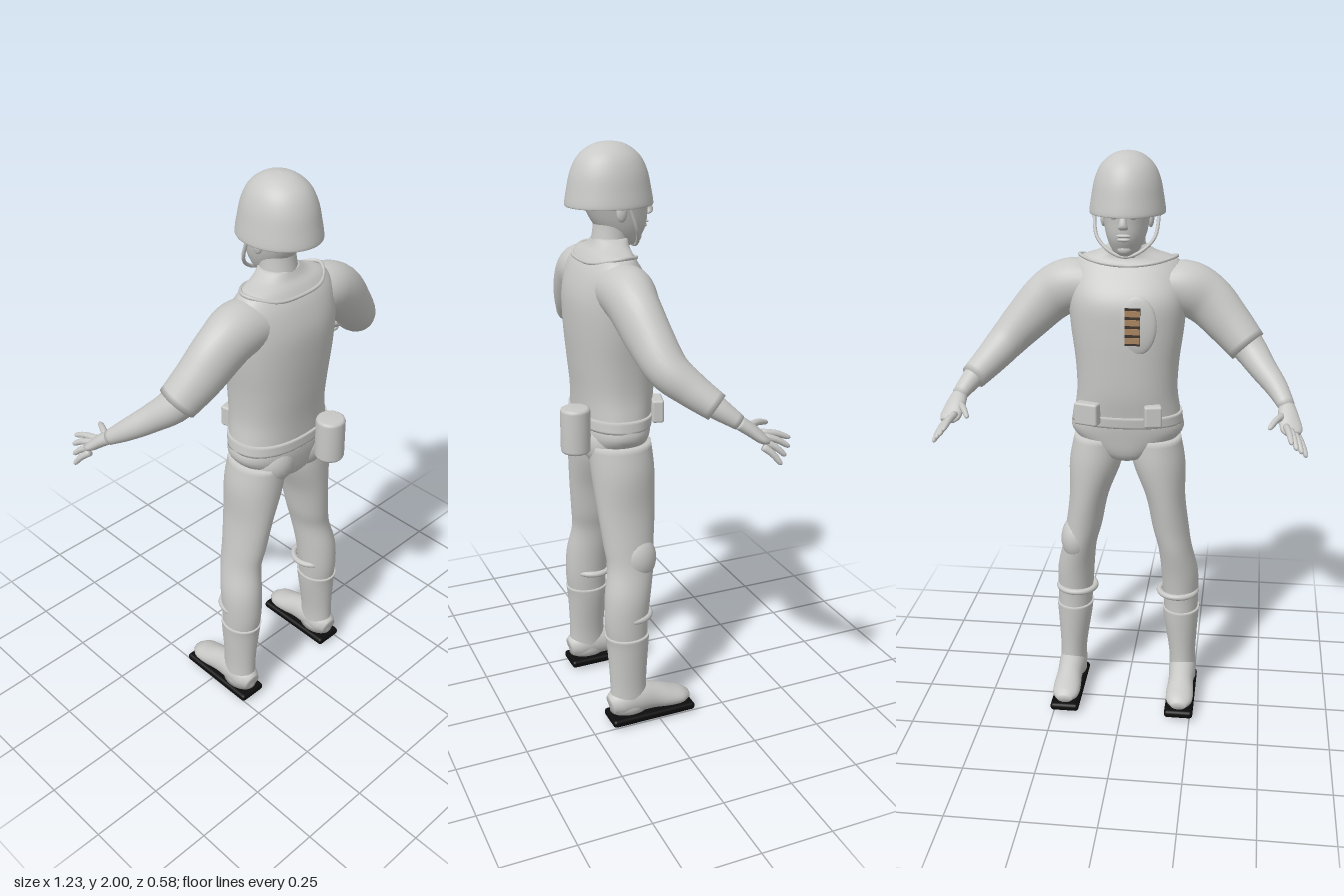
import * as THREE from 'three';
import { RoundedBoxGeometry } from 'three/addons/geometries/RoundedBoxGeometry.js';

const uniform = { color: 0xc8c8c6 }, black = { color: 0x0c0c0c };
const V = (x, y, z) => new THREE.Vector3(x, y, z);

// Smooth tube through rows of [x, y, z, sideRadius, otherRadius]; upright keeps the rings level
function loft(rows, { upright = false, seg = 28, steps = 5, grow = 0, power = 1 } = {}) {
  const mid = new THREE.CatmullRomCurve3(rows.map(r => V(r[0], r[1], r[2])), false, 'catmullrom', 0.5);
  const rad = new THREE.CatmullRomCurve3(rows.map(r => V(r[3], r[4], 0)), false, 'catmullrom', 0.5);
  const n = (rows.length - 1) * steps, pos = [], idx = [];
  const pw = v => Math.sign(v) * Math.abs(v) ** power;
  for (let i = 0; i <= n; i++) {
    const c = mid.getPoint(i / n), r = rad.getPoint(i / n), t = mid.getTangent(i / n);
    if (upright) t.set(0, Math.sign(t.y), 0);
    const a = upright ? V(1, 0, 0) : t.clone().cross(V(0, 1, 0)).normalize();
    const b = t.clone().cross(a);
    for (let j = 0; j < seg; j++) {
      const q = j / seg * Math.PI * 2;
      const p = c.clone().addScaledVector(a, pw(Math.cos(q)) * (r.x + grow))
        .addScaledVector(b, pw(Math.sin(q)) * (r.y + grow));
      pos.push(p.x, p.y, p.z);
      if (i < n) {
        const k = i * seg + j, m = i * seg + (j + 1) % seg;
        idx.push(k, m, k + seg, m, m + seg, k + seg);
      }
    }
  }
  // end caps
  const s = pos.length / 3, last = n * seg;
  pos.push(...mid.getPoint(0).toArray(), ...mid.getPoint(1).toArray());
  for (let j = 0; j < seg; j++) {
    const m = (j + 1) % seg;
    idx.push(s, m, j, s + 1, last + j, last + m);
  }
  const g = new THREE.BufferGeometry();
  g.setAttribute('position', new THREE.Float32BufferAttribute(pos, 3));
  g.setIndex(idx);
  g.computeVertexNormals();
  return g;
}

export function createModel() {
  const root = new THREE.Group();
  const mat = (name, o) => Object.assign(new THREE.MeshStandardMaterial(o), { name });
  const grey = mat('grey', uniform), soleBlack = mat('soleBlack', black);
  const tan = mat('tan', { color: 0xa98560 }), dark = mat('darkBrown', { color: 0x3c342e });
  grey.side = THREE.DoubleSide;
  const add = (name, geo, m = grey, x = 0, y = 0, z = 0) => {
    const mesh = new THREE.Mesh(geo, m);
    mesh.name = name;
    mesh.position.set(x, y, z);
    root.add(mesh);
    return mesh;
  };
  const blob = (name, x, y, z, rx, ry, rz) =>
    add(name, new THREE.SphereGeometry(1, 24, 16).scale(rx, ry, rz), grey, x, y, z);
  const tube = (name, pts, r, closed = false) =>
    add(name, new THREE.TubeGeometry(new THREE.CatmullRomCurve3(pts, closed), 48, r, 8, closed));

  // Torso, neck and belt
  add('torso', loft([
    [0, 0.94, 0.09, 0.03, 0.05], [0, 0.97, 0.09, 0.10, 0.10], [0, 1.05, 0.09, 0.193, 0.118],
    [0, 1.12, 0.085, 0.185, 0.122], [0, 1.2, 0.08, 0.174, 0.13], [0, 1.3, 0.082, 0.178, 0.138],
    [0, 1.42, 0.085, 0.193, 0.144], [0, 1.52, 0.088, 0.2, 0.14], [0, 1.6, 0.1, 0.195, 0.105],
    [0, 1.65, 0.1, 0.165, 0.075], [0, 1.675, 0.09, 0.1, 0.062], [0, 1.7, 0.08, 0.06, 0.058],
  ], { upright: true, seg: 48, power: 0.88 }));
  add('neck', loft([[0, 1.66, 0.085, 0.065, 0.062], [0, 1.74, 0.075, 0.058, 0.06],
    [0, 1.82, 0.07, 0.06, 0.065]], { upright: true }));
  add('belt', loft([[0, 1.085, 0.088, 0.191, 0.121], [0, 1.125, 0.085, 0.186, 0.123]],
    { upright: true, seg: 48, power: 0.88, grow: 0.004 }));
  tube('neckline', [V(-0.165, 1.658, 0.1), V(-0.1, 1.638, 0.172), V(0, 1.632, 0.186), V(0.1, 1.638, 0.172),
    V(0.165, 1.658, 0.1), V(0.1, 1.645, 0.03), V(0, 1.635, 0.018), V(-0.1, 1.645, 0.03)], 0.006, true);
  for (const s of [-1, 1]) blob('buttock', s * 0.075, 1.03, 0.14, 0.08, 0.085, 0.072);

  // Head, looking towards -z
  add('head', loft([
    [0, 1.672, 0.02, 0.028, 0.028], [0, 1.69, 0.03, 0.046, 0.05], [0, 1.73, 0.042, 0.064, 0.083],
    [0, 1.78, 0.055, 0.075, 0.102], [0, 1.84, 0.065, 0.08, 0.112], [0, 1.93, 0.075, 0.065, 0.085],
  ], { upright: true }));
  add('nose', loft([[0, 1.815, -0.046, 0.009, 0.008], [0, 1.785, -0.056, 0.013, 0.013],
    [0, 1.77, -0.053, 0.017, 0.014], [0, 1.763, -0.045, 0.012, 0.008]], { upright: true, seg: 14 }));
  blob('upperLip', 0, 1.743, -0.042, 0.024, 0.006, 0.009);
  blob('lowerLip', 0, 1.73, -0.038, 0.021, 0.007, 0.009);
  blob('chin', 0, 1.695, -0.012, 0.024, 0.018, 0.016);
  for (const s of [-1, 1]) {
    blob('eye', s * 0.03, 1.802, -0.036, 0.014, 0.008, 0.01);
    blob('brow', s * 0.03, 1.822, -0.039, 0.024, 0.008, 0.01);
    blob('ear', s * 0.078, 1.785, 0.07, 0.011, 0.03, 0.018);
  }

  // Helmet and chin strap
  const dome = new THREE.SplineCurve([[0.116, 1.808], [0.126, 1.804], [0.12, 1.85], [0.108, 1.91],
    [0.085, 1.958], [0.045, 1.99], [0.0001, 2]].map(p => new THREE.Vector2(...p))).getPoints(30);
  add('helmet', new THREE.LatheGeometry(dome, 40).scale(1, 1, 1.15), grey, 0, 0, 0.083);
  tube('chinStrap', [V(-0.108, 1.82, 0.06), V(-0.095, 1.73, 0.025), V(-0.05, 1.685, 0.005), V(0, 1.668, 0),
    V(0.05, 1.685, 0.005), V(0.095, 1.73, 0.025), V(0.108, 1.82, 0.06)], 0.006);

  // Arms: the right sleeve stops at the elbow, the left one reaches the wrist
  const arm = [
    [0.12, 1.56, 0.1, 0.08, 0.07], [0.2, 1.55, 0.1, 0.078, 0.083], [0.27, 1.51, 0.1, 0.067, 0.08],
    [0.34, 1.44, 0.085, 0.062, 0.07], [0.41, 1.365, 0.058, 0.057, 0.057], [0.46, 1.31, 0.002, 0.047, 0.046],
    [0.51, 1.26, -0.06, 0.037, 0.036], [0.545, 1.215, -0.12, 0.027, 0.024],
  ];
  const palm = [[0.543, 1.218, -0.115, 0.026, 0.022], [0.55, 1.192, -0.152, 0.034, 0.021],
    [0.56, 1.163, -0.188, 0.037, 0.017], [0.565, 1.152, -0.208, 0.026, 0.01]];
  // digits as base and tip, thumb first
  const digits = [
    [[0.53, 1.195, -0.16], [0.488, 1.18, -0.248]], [[0.543, 1.172, -0.195], [0.56, 1.147, -0.29]],
    [[0.557, 1.162, -0.2], [0.577, 1.125, -0.28]], [[0.57, 1.15, -0.195], [0.595, 1.105, -0.257]],
    [[0.58, 1.14, -0.185], [0.611, 1.085, -0.235]],
  ];
  for (const s of [-1, 1]) {
    const side = rows => rows.map(([x, ...r]) => [s * x, ...r]);
    add('arm', loft(side(arm)));
    add('sleeve', loft(side(arm.slice(0, s > 0 ? 7 : 5)), { grow: 0.009 }));
    add('palm', loft(side(palm), { seg: 18 }));
    for (const [b, t] of digits) {
      const at = (k, lift, r) => [...b.map((v, i) => v + (t[i] - v) * k + (i === 1 ? lift : 0)), r, r];
      add('finger', loft(side([at(0, 0, 0.012), at(0.5, 0.006, 0.0105), at(0.9, 0.001, 0.008), at(1, 0, 0.003)]),
        { seg: 10, steps: 3 }));
    }

    // Legs
    const leg = [
      [0.1, 1.03, 0.09, 0.088, 0.108], [0.113, 0.93, 0.085, 0.093, 0.11], [0.138, 0.8, 0.083, 0.07, 0.102],
      [0.158, 0.68, 0.083, 0.065, 0.09], [0.175, 0.6, 0.083, 0.061, 0.083], [0.192, 0.5, 0.1, 0.067, 0.082],
      [0.197, 0.4, 0.108, 0.065, 0.077], [0.2, 0.3, 0.104, 0.059, 0.07], [0.207, 0.16, 0.105, 0.045, 0.062],
      [0.21, 0.05, 0.105, 0.046, 0.066],
    ];
    add('leg', loft(side(leg), { upright: true }));
    const boot = [[0.199, 0.35, 0.106, 0.064, 0.075], ...leg.slice(7)];
    add('bootShaft', loft(side(boot), { upright: true, grow: 0.004 }));
    add('foot', loft(side([
      [0.21, 0.075, 0.175, 0.03, 0.035], [0.21, 0.085, 0.14, 0.048, 0.05], [0.21, 0.09, 0.08, 0.05, 0.058],
      [0.21, 0.08, 0.01, 0.046, 0.048], [0.21, 0.066, -0.05, 0.05, 0.038], [0.21, 0.058, -0.095, 0.046, 0.028],
      [0.21, 0.053, -0.125, 0.025, 0.014],
    ])));
    add('sole', new RoundedBoxGeometry(0.104, 0.028, 0.316, 3, 0.012), soleBlack, s * 0.21, 0.022, 0.022);
    add('soleStud', new THREE.CylinderGeometry(0.016, 0.016, 0.012, 16).scale(1, 1, 1.4),
      grey, s * 0.21, 0.006, -0.045);
    add('shinRing', new THREE.TorusGeometry(0.067, 0.011, 10, 40).rotateX(Math.PI / 2),
      grey, s * 0.187, 0.42, 0.088);
  }
  blob('kneePatch', 0.183, 0.625, 0.062, 0.057, 0.085, 0.068);

  // Pouches on the belt
  add('frontPouch', new RoundedBoxGeometry(0.085, 0.078, 0.04, 3, 0.008), grey, 0.125, 1.137, -0.034).rotation.y = -0.3;
  add('frontPouch', new RoundedBoxGeometry(0.06, 0.075, 0.04, 3, 0.008), grey, -0.1, 1.137, -0.04).rotation.y = 0.2;
  const can = [[0, -0.078], [0.04, -0.078], [0.047, -0.074], [0.05, -0.066], [0.05, 0.066],
    [0.047, 0.074], [0.04, 0.078], [0, 0.078]].map(p => new THREE.Vector2(...p));
  add('backCanister', new THREE.LatheGeometry(can, 32), grey, 0.09, 1.088, 0.243);

  // Oval chest panel with a column of bars
  blob('chestPanel', -0.045, 1.45, -0.048, 0.066, 0.1, 0.018);
  add('barBacking', new THREE.BoxGeometry(0.052, 0.125, 0.008), dark, -0.032, 1.45, -0.063);
  for (let i = 0; i < 4; i++)
    add('chestBar', new THREE.BoxGeometry(0.05, 0.02, 0.008), tan, -0.032, 1.405 + i * 0.03, -0.0655);
  return root;
}
